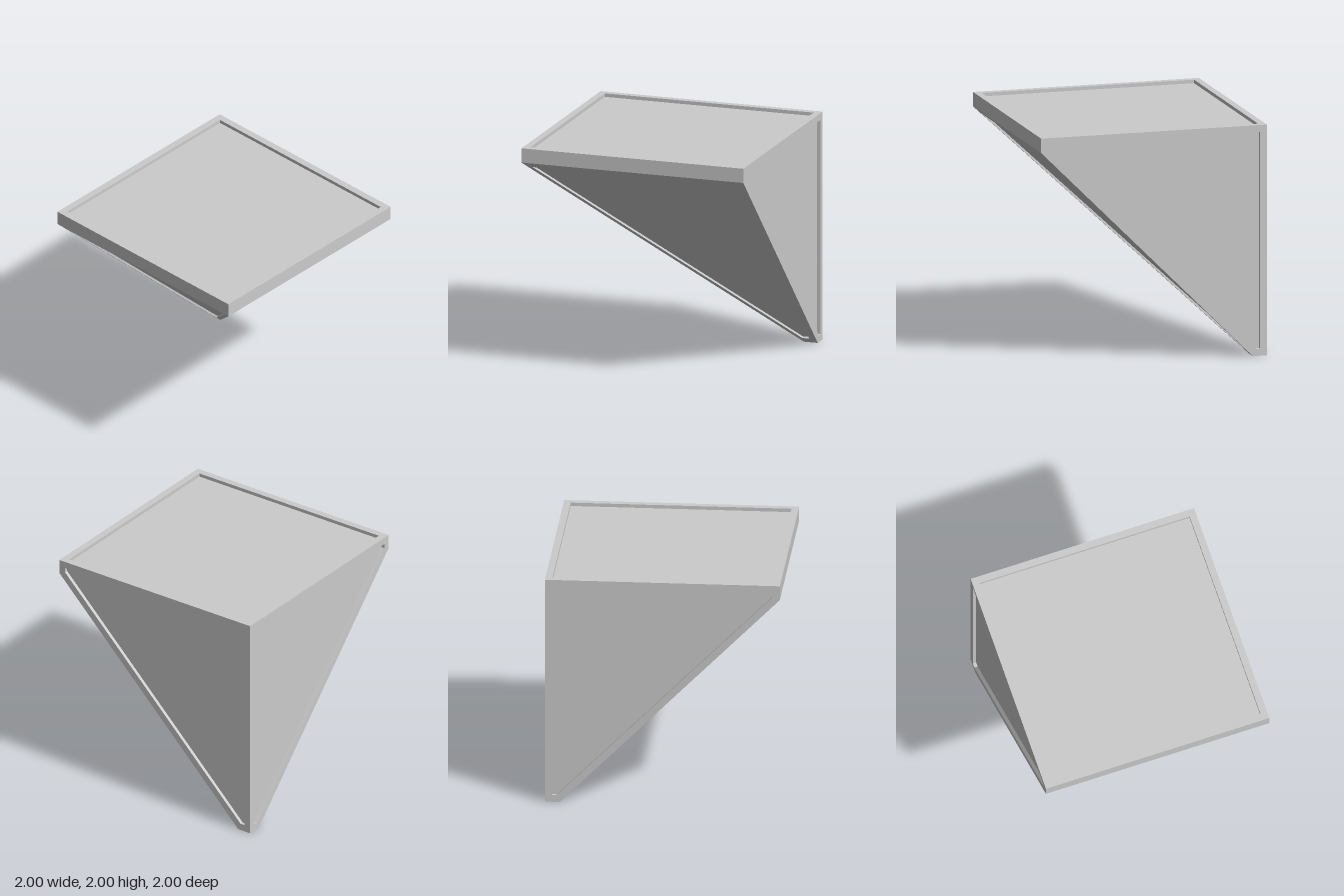
import * as THREE from 'three';

const material = new THREE.MeshStandardMaterial({ color: 0xcccccc, flatShading: true });

// Adds a convex polygon (counter-clockwise from outside) as a triangle fan.
function addFan(out, pts) {
  for (let i = 1; i < pts.length - 1; i++) {
    for (const p of [pts[0], pts[i], pts[i + 1]]) out.push(p.x, p.y, p.z);
  }
}

// Moves every edge of a convex polygon inward by its own rim width.
function inset(pts, rims) {
  const n = pts.length;
  return pts.map((p, i) => {
    const prev = (i + n - 1) % n;
    const d0 = p.clone().sub(pts[prev]).normalize();
    const d1 = pts[(i + 1) % n].clone().sub(p).normalize();
    const sin = d0.clone().cross(d1).length();
    return p.clone().addScaledVector(d0, -rims[i] / sin).addScaledVector(d1, rims[prev] / sin);
  });
}

// One face of the body: plain, or a raised rim around a sunken panel.
function face(name, corners, depth = 0, rims = corners.map(() => 0.06)) {
  const pts = corners.map((c) => new THREE.Vector3(...c));
  const out = [];
  if (depth > 0) {
    const normal = pts[1].clone().sub(pts[0]).cross(pts[2].clone().sub(pts[1])).normalize();
    const inner = inset(pts, rims);
    const floor = inner.map((p) => p.clone().addScaledVector(normal, -depth));
    pts.forEach((p, i) => {
      const j = (i + 1) % pts.length;
      addFan(out, [p, pts[j], inner[j], inner[i]]); // rim
      addFan(out, [inner[i], inner[j], floor[j], floor[i]]); // recess wall
    });
    addFan(out, floor);
  } else {
    addFan(out, pts);
  }
  const geometry = new THREE.BufferGeometry();
  geometry.setAttribute('position', new THREE.Float32BufferAttribute(out, 3));
  geometry.computeVertexNormals();
  const mesh = new THREE.Mesh(geometry, material);
  mesh.name = name;
  return mesh;
}

export function createModel() {
  const group = new THREE.Group();
  group.name = 'cornerWedge';
  const top = 2, lip = 1.875, tip = 0.875; // heights of the slab, and start of the foot
  const deep = 0.03, shallow = 0.018;

  group.add(
    // square top and the two upright walls
    face('topPanel', [[-1, top, 1], [1, top, 1], [1, top, -1], [-1, top, -1]], deep),
    face('leftWall', [[1, top, 1], [1, lip, 1], [1, 0, -tip], [1, 0, -1], [1, top, -1]], deep),
    face('backWall', [[1, top, -1], [1, 0, -1], [tip, 0, -1], [-1, lip, -1], [-1, top, -1]], deep),
    // slopes running down to the foot
    face('frontSlope', [[-1, lip, 1], [tip, 0, -tip], [1, 0, -tip], [1, lip, 1]],
      shallow, [0.035, 0.06, 0.06, 0.06]),
    face('sideSlope', [[-1, lip, -1], [tip, 0, -1], [tip, 0, -tip], [-1, lip, 1]],
      shallow, [0.06, 0.06, 0.035, 0.06]),
    // plain edge bands and the small foot
    face('frontBand', [[-1, top, 1], [-1, lip, 1], [1, lip, 1], [1, top, 1]]),
    face('sideBand', [[-1, top, -1], [-1, lip, -1], [-1, lip, 1], [-1, top, 1]]),
    face('foot', [[tip, 0, -1], [1, 0, -1], [1, 0, -tip], [tip, 0, -tip]]),
  );
  return group;
}
